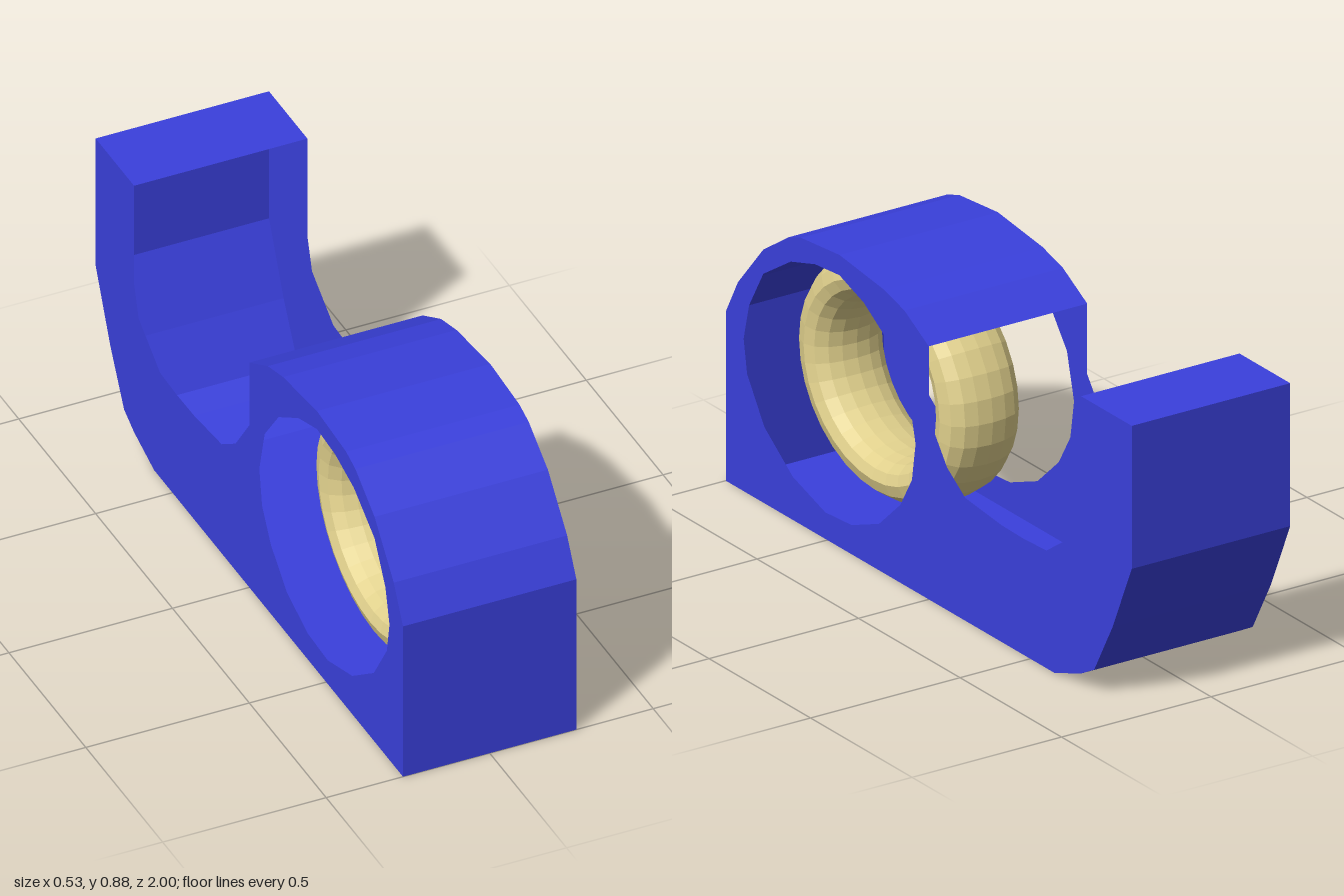
import * as THREE from 'three';

const HALF = 0.265; // half width of the body

// Closed outer skin of the body, as [z, y], from the mouth over the front to the hook
const skinPath = [
  [0, 0.763], [0.12, 0.828], [0.22, 0.855], [0.44, 0.881], [0.63, 0.865], [0.69, 0.845],
  [0.815, 0.763], [0.94, 0.62], [1, 0.51], [1, 0], [-0.62, 0], [-0.75, 0.045],
  [-0.815, 0.08], [-0.905, 0.24], [-1, 0.45], [-1, 0.881], [-0.75, 0.881],
];
// Open trough between the hook and the roll housing (edges of the side walls only)
const troughPath = [
  [-0.75, 0.55], [-0.72, 0.45], [-0.58, 0.355], [-0.47, 0.35], [-0.36, 0.352],
  [-0.18, 0.37], [-0.09, 0.43], [0, 0.55],
];
// Window in each side wall
const windowPath = [
  [0.44, 0.82], [0.32, 0.78], [0.19, 0.7], [0.1, 0.585], [0.065, 0.445], [0.083, 0.33],
  [0.14, 0.235], [0.245, 0.14], [0.38, 0.088], [0.51, 0.08], [0.67, 0.13], [0.81, 0.23],
  [0.895, 0.36], [0.912, 0.46], [0.885, 0.57], [0.815, 0.69], [0.68, 0.775], [0.56, 0.81],
];
const toVectors = (path) => path.map(([z, y]) => new THREE.Vector2(z, y));

// Flat side wall lying in the plane x = 0
function sideGeometry() {
  const shape = new THREE.Shape(toVectors([...skinPath, ...troughPath]));
  shape.holes.push(new THREE.Path(toVectors(windowPath)));
  return new THREE.ShapeGeometry(shape).rotateY(-Math.PI / 2);
}

// Thin band swept across the width along the skin path
function skinGeometry() {
  const pos = [];
  for (let i = 0; i < skinPath.length - 1; i++) {
    const [z0, y0] = skinPath[i];
    const [z1, y1] = skinPath[i + 1];
    const a = [-HALF, y0, z0], b = [HALF, y0, z0];
    const c = [HALF, y1, z1], d = [-HALF, y1, z1];
    pos.push(...a, ...d, ...c, ...a, ...c, ...b);
  }
  const geo = new THREE.BufferGeometry();
  geo.setAttribute('position', new THREE.Float32BufferAttribute(pos, 3));
  geo.computeVertexNormals();
  return geo;
}

// Rounded ring section, half of it mirrored, turned about the x axis
function rollGeometry() {
  const half = [
    [0.415, 0], [0.411, 0.045], [0.4, 0.083], [0.375, 0.113], [0.335, 0.125],
    [0.3, 0.113], [0.275, 0.083], [0.262, 0.045], [0.257, 0],
  ];
  const lower = half.slice(1, -1).reverse().map(([r, h]) => [r, -h]);
  const section = [...half, ...lower, half[0]];
  return new THREE.LatheGeometry(toVectors(section), 32).rotateZ(-Math.PI / 2);
}

export function createModel() {
  const model = new THREE.Group();
  model.name = 'tapeDispenser';
  const blue = new THREE.MeshStandardMaterial({
    color: 0x3a40dc, flatShading: true, side: THREE.DoubleSide,
  });
  const gold = new THREE.MeshStandardMaterial({ color: 0xe0d08c, flatShading: true });

  const add = (name, geometry, material, parent) => {
    const mesh = new THREE.Mesh(geometry, material);
    mesh.name = name;
    parent.add(mesh);
    return mesh;
  };

  // Hollow body: outer skin and two side walls
  const body = new THREE.Group();
  body.name = 'body';
  model.add(body);
  add('outerSkin', skinGeometry(), blue, body);
  const side = sideGeometry();
  add('rightWall', side, blue, body).position.x = -HALF;
  const leftWall = add('leftWall', side, blue, body);
  leftWall.position.x = HALF;
  leftWall.scale.x = -1;

  // Tape roll, slightly flattened in height
  const roll = add('tapeRoll', rollGeometry(), gold, model);
  roll.position.set(0, 0.443, 0.488);
  roll.scale.y = 0.865;

  return model;
}
